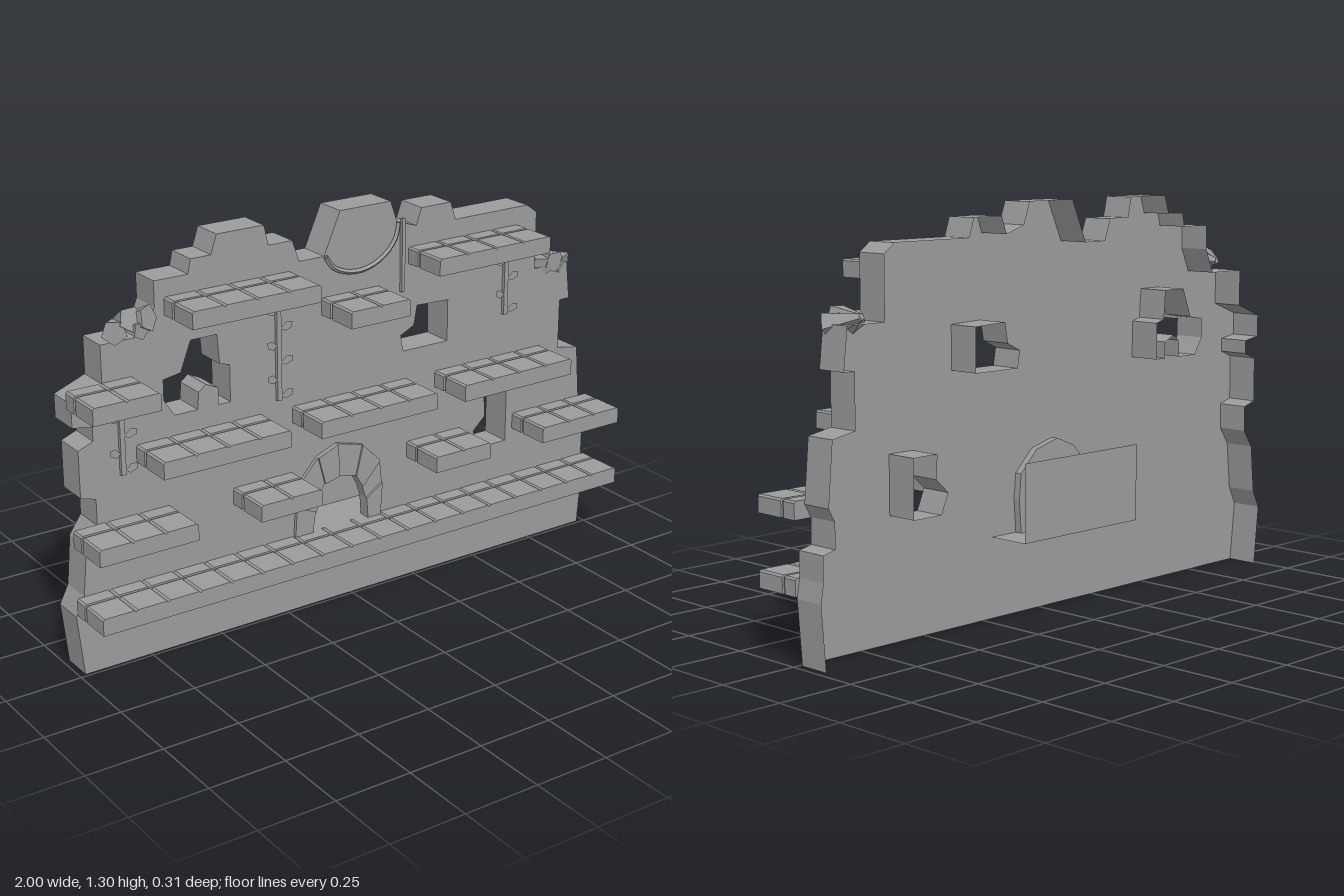
import * as THREE from 'three';

const FRONT = -0.01, BACK = -0.117;
const mat = new THREE.MeshStandardMaterial({ color: 0x9b9b9b, flatShading: true, side: THREE.DoubleSide });

function add(parent, name, geometry) {
  const mesh = new THREE.Mesh(geometry, mat);
  mesh.name = name;
  parent.add(mesh);
  return mesh;
}
const vecs = pts => pts.map(([x, y]) => new THREE.Vector2(x, y));

// Strip of quads running along an outline, from the wall face to its open back
function rim(pts, closed) {
  const pos = [];
  const n = closed ? pts.length : pts.length - 1;
  for (let i = 0; i < n; i++) {
    const [ax, ay] = pts[i], [bx, by] = pts[(i + 1) % pts.length];
    pos.push(ax, ay, FRONT, ax, ay, BACK, bx, by, BACK, ax, ay, FRONT, bx, by, BACK, bx, by, FRONT);
  }
  const g = new THREE.BufferGeometry();
  g.setAttribute('position', new THREE.Float32BufferAttribute(pos, 3));
  g.computeVertexNormals();
  return g;
}

// Broken wall outline, split so that no list is long
const leftEdge = [[-.98, 0], [-1, .2], [-.97, .26], [-.955, .42], [-.915, .48], [-.915, .565], [-.965, .58],
  [-.965, .73], [-.915, .75], [-.915, .795], [-.98, .805], [-.98, .88], [-.877, .92], [-.877, 1.04], [-.73, 1.04], [-.695, 1.12]];
const topEdge = [[-.695, 1.2], [-.58, 1.2], [-.57, 1.245], [-.5, 1.245], [-.48, 1.305], [-.315, 1.305], [-.3, 1.24],
  [-.215, 1.24], [-.19, 1.17], [-.1, 1.17], [-.04, 1.305], [.15, 1.305], [.175, 1.235], [.25, 1.21], [.27, 1.265],
  [.385, 1.265], [.405, 1.205], [.7, 1.205], [.74, 1.175]];
const rightEdge = [[.74, .98], [.88, .98], [.895, .85], [.855, .85], [.855, .68], [.94, .665], [.957, .47],
  [.935, .43], [.935, .35], [.98, .34], [.98, .26], [.99, .2], [.975, 0]];

const windows = [
  [[-.675, .89], [-.615, .9], [-.578, .995], [-.487, .995], [-.48, .9], [-.445, .89], [-.445, .77], [-.487, .77],
    [-.487, .825], [-.53, .845], [-.556, .825], [-.56, .77], [-.64, .77], [-.675, .825]],
  [[.257, .945], [.38, .94], [.38, .8], [.203, .8], [.193, .855], [.245, .88]],
  [[.54, .575], [.635, .575], [.635, .39], [.525, .39], [.497, .455], [.545, .5]],
];

// Doorway stones: matching outer and inner points
const archOuter = [[-.222, .26], [-.215, .36], [-.195, .45], [-.135, .515], [-.06, .545], [.035, .52], [.105, .45], [.113, .37], [.105, .26]];
const archInner = [[-.155, .26], [-.145, .33], [-.135, .375], [-.11, .42], [-.055, .433], [.01, .418], [.035, .375], [.05, .33], [.055, .26]];

function buildWall(root) {
  const wall = new THREE.Group();
  wall.name = 'wall';
  root.add(wall);
  const outline = [...leftEdge, ...topEdge, ...rightEdge];
  const shape = new THREE.Shape(vecs(outline));
  windows.forEach(w => shape.holes.push(new THREE.Path(vecs(w))));
  // doorway hole lies just inside the outer edge of the stones
  const door = archOuter.map(([x, y]) => [-.055 + (x + .055) * .93, .26 + (y - .26) * .95]);
  shape.holes.push(new THREE.Path(vecs(door)));
  add(wall, 'wallFace', new THREE.ShapeGeometry(shape)).position.z = FRONT;
  add(wall, 'wallRim', rim(outline, false));
  windows.forEach(w => add(wall, 'windowTunnel', rim(w, true)));
}

function buildDoorway(root) {
  const doorway = new THREE.Group();
  doorway.name = 'doorway';
  root.add(doorway);
  for (let i = 0; i < archOuter.length - 1; i++) {
    const s = new THREE.Shape(vecs([archOuter[i], archOuter[i + 1], archInner[i + 1], archInner[i]]));
    const g = new THREE.ExtrudeGeometry(s, { depth: .036 + .006 * (i % 2), bevelEnabled: false });
    add(doorway, 'archStone', g).position.z = -.034;
  }
  // alcove floor and back panel
  const floor = add(doorway, 'alcoveFloor', new THREE.PlaneGeometry(.515, .145));
  floor.rotation.x = -Math.PI / 2;
  floor.position.set(-.047, .26, -.0825);
  add(doorway, 'alcoveBack', new THREE.PlaneGeometry(.515, .25)).position.set(-.047, .385, -.155);
}

// Block with its two upper side edges clipped, so that neighbours meet in a shallow groove
function tileGeometry(w, h, z0, z1) {
  const x = w / 2, c = .006;
  const s = new THREE.Shape(vecs([[-x, 0], [x, 0], [x, h - c], [x - c, h], [-x + c, h], [-x, h - c]]));
  return new THREE.ExtrudeGeometry(s, { depth: z1 - z0, bevelEnabled: false }).translate(0, 0, z0);
}

function buildPlatforms(root) {
  const pitch = 1.99 / 18, x0 = -.995, h = .055;
  const frontTile = tileGeometry(pitch, h, .05, .155);
  const backTile = tileGeometry(pitch, h, FRONT, .039);
  const joint = new THREE.BoxGeometry(pitch - .014, h - .006, .011).translate(0, h / 2 - .003, .0445);
  // bottom height, first tile, tile count
  const rows = [[.205, 0, 18], [.428, 0, 3], [.428, 5, 2], [.428, 11, 2], [.428, 15, 3], [.65, 2, 4], [.65, 7, 4],
    [.65, 12, 4], [.868, 0, 2], [.983, 8, 2], [1.09, 3, 4], [1.09, 11, 4]];
  for (const [y, first, count] of rows) {
    const platform = new THREE.Group();
    platform.name = 'platform';
    root.add(platform);
    for (let i = first; i < first + count; i++) {
      const x = x0 + (i + .5) * pitch;
      add(platform, 'frontTile', frontTile).position.set(x, y, 0);
      add(platform, 'backTile', backTile).position.set(x, y, 0);
      add(platform, 'tileJoint', joint).position.set(x, y, 0);
    }
  }
}

function buildVines(root) {
  const leaf = new THREE.ShapeGeometry(new THREE.Shape(vecs([[0, .004], [.016, -.006], [.038, .004], [.04, .022], [.02, .024]])));
  for (const [x, bottom, top] of [[-.275, .74, 1.1], [-.825, .625, .88], [.61, .85, 1.1]]) {
    const vine = new THREE.Group();
    vine.name = 'vine';
    root.add(vine);
    add(vine, 'vineStem', new THREE.BoxGeometry(.016, top - bottom, .012)).position.set(x, (top + bottom) / 2, -.002);
    const n = Math.round((top - bottom) / .055);
    for (let i = 0; i < n; i++) {
      const side = i % 2 ? -1 : 1;
      const l = add(vine, 'vineLeaf', leaf);
      l.position.set(x + side * .006, bottom + .01 + i * .055, .002);
      l.scale.x = side;
      l.rotation.y = -side * .15;
    }
  }
  // vine draped below the top block, with a loose end hanging down
  const drape = new THREE.CatmullRomCurve3([[-.1, 1.17], [-.07, 1.13], [0, 1.105], [.07, 1.112], [.13, 1.145], [.165, 1.19], [.175, 1.235]]
    .map(([x, y]) => new THREE.Vector3(x, y, -.001)));
  add(root, 'drapedVine', new THREE.TubeGeometry(drape, 16, .008, 4));
  add(root, 'hangingVine', new THREE.BoxGeometry(.012, .24, .012)).position.set(.192, 1.125, -.002);
}

// Tapered stones fanning out from a narrow point at the back of a broken step
function buildRubble(root) {
  const piles = [
    { apex: [-.79, 1.075, -.08], ends: [[-.84, 1.075, .01, .04], [-.79, 1.11, .02, .04], [-.735, 1.105, .025, .042], [-.765, 1.075, .035, .03]] },
    { apex: [.82, 1, -.105], ends: [[.77, .98, -.01, .038], [.815, .995, .005, .038], [.865, .975, -.01, .042]] },
  ];
  for (const { apex, ends } of piles) {
    const pile = new THREE.Group();
    pile.name = 'rubble';
    root.add(pile);
    const from = new THREE.Vector3(...apex);
    ends.forEach(([x, y, z, r], i) => {
      const to = new THREE.Vector3(x, y, z);
      const length = from.distanceTo(to);
      const g = new THREE.CylinderGeometry(r, r * .3, length, 5).rotateY(i * 1.3).rotateX(Math.PI / 2);
      const stone = add(pile, 'rubbleStone', g);
      stone.position.copy(from).lerp(to, .5);
      stone.lookAt(to);
    });
  }
}

export function createModel() {
  const root = new THREE.Group();
  root.name = 'ruinedWall';
  buildWall(root);
  buildDoorway(root);
  buildPlatforms(root);
  buildVines(root);
  buildRubble(root);
  return root;
}
